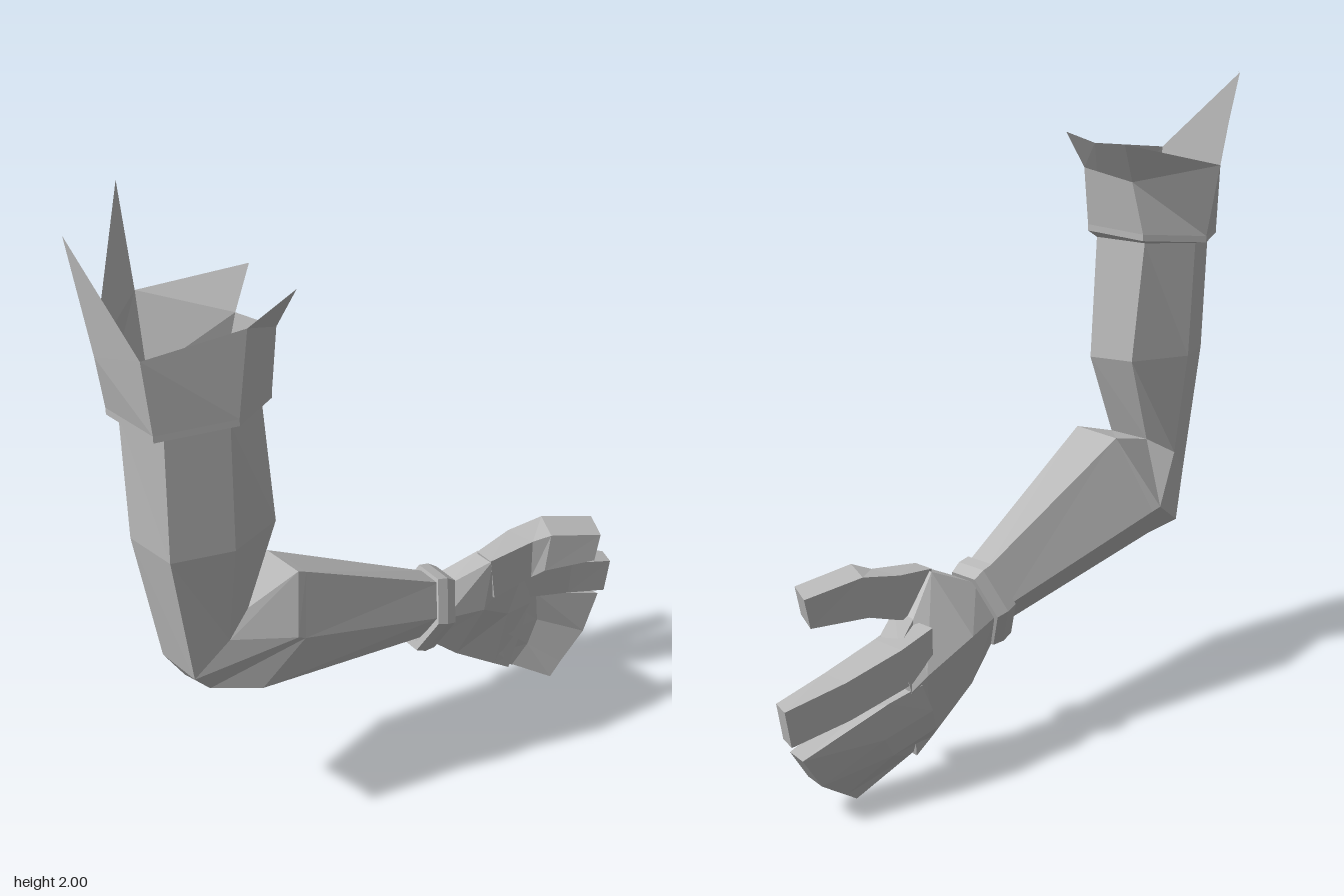
import * as THREE from 'three';

const grey = new THREE.MeshStandardMaterial({ color: 0xb8b8b8, flatShading: true, side: THREE.DoubleSide });
grey.name = 'plain grey';

function meshFromTriangles(name, triangles) {
  const geometry = new THREE.BufferGeometry();
  geometry.setAttribute('position', new THREE.Float32BufferAttribute(triangles.flat(2), 3));
  geometry.computeVertexNormals();
  const mesh = new THREE.Mesh(geometry, grey);
  mesh.name = name;
  return mesh;
}

// Skins a list of equal-sized rings with flat facets, with optional end caps
function loft(name, rings, capStart = false, capEnd = false) {
  const tris = [];
  const n = rings[0].length;
  const centre = (ring) => [0, 1, 2].map((k) => ring.reduce((s, p) => s + p[k], 0) / n);
  for (let j = 0; j < n; j++) {
    const k = (j + 1) % n;
    for (let i = 0; i < rings.length - 1; i++) {
      const a = rings[i], b = rings[i + 1];
      tris.push([a[j], b[j], b[k]], [a[j], b[k], a[k]]);
    }
    const first = rings[0], last = rings[rings.length - 1];
    if (capStart) tris.push([centre(first), first[j], first[k]]);
    if (capEnd) tris.push([centre(last), last[k], last[j]]);
  }
  return meshFromTriangles(name, tris);
}

// Four-sided finger section: x range and y range at the lower and upper z
const fingerRing = (x0, x1, y0, y1, zLow, zHigh, skew = 0) => [
  [x0, y0, zLow], [x1, y0, zLow + skew], [x1, y1, zHigh + skew], [x0, y1, zHigh],
];

export function createModel() {
  const group = new THREE.Group();
  group.name = 'bentArm';

  // Upper arm, elbow and forearm: six-sided rings from shoulder to wrist
  const shoulder = [[-.03, 1.46, .84], [.18, 1.48, .82], [.225, 1.48, .65], [.15, 1.47, .51], [-.04, 1.47, .52], [-.11, 1.46, .68]];
  const biceps = [[-.01, 1.09, .845], [.165, 1.09, .82], [.21, 1.09, .645], [.14, 1.09, .475], [-.03, 1.1, .48], [-.1, 1.1, .67]];
  const elbow = [[0, .68, .78], [.155, .68, .765], [.16, .77, .65], [.13, .83, .57], [-.02, .83, .57], [-.07, .78, .65]];
  const elbowTip = [[-.05, .54, .69], [.12, .6, .7], [.2, .72, .45], [.12, .88, .395], [-.04, .87, .4], [-.15, .65, .49]];
  const forearm = [[-.05, .525, .55], [.16, .56, .55], [.19, .7, .42], [.115, .865, .365], [-.04, .855, .37], [-.145, .64, .46]];
  const wrist = [[-.03, .39, -.08], [.05, .41, -.09], [.09, .49, -.13], [.04, .58, -.17], [-.04, .58, -.17], [-.09, .47, -.13]];
  group.add(loft('upperArm', [shoulder, biceps, elbow]));
  group.add(loft('forearm', [elbow, elbowTip, forearm, wrist], false, true));

  // Wrist band: tilted hexagonal collar
  const bandRing = (t, s) => [[-.05, -.125], [.05, -.125], [.11, 0], [.05, .125], [-.05, .125], [-.11, 0]].map(([x, u]) => [
    x * s - .005, .48 + u * s * .95 - t * .025, -.12 - u * s * .32 - t * .07,
  ]);
  group.add(loft('wristBand', [bandRing(0, .8), bandRing(0, 1), bandRing(.5, 1.03), bandRing(1, .95), bandRing(1, .7)]));

  // Torn cuff: flared wall with a folded lower rim
  const rim = [[-.04, 1.465, .87], [.2, 1.485, .86], [.255, 1.49, .64], [.17, 1.49, .49], [-.05, 1.48, .5], [-.145, 1.465, .69]];
  const rimTop = rim.map(([x, y, z]) => [x, y + .02, z]);
  const edge = [[-.015, 1.65, .9], [.2, 1.72, .88], [.245, 1.75, .6], [.17, 1.69, .47], [-.02, 1.66, .48], [-.2, 1.71, .68]];
  group.add(loft('cuff', [edge, rimTop, rim, shoulder]));

  // Pointed rags rising from the cuff edge
  const [A, B, C, D, E, F] = edge;
  group.add(meshFromTriangles('cuffPoints', [
    [F, A, [-.26, 2, .68]],
    [A, B, [-.07, 1.97, .93]],
    [C, D, [.21, 1.8, .43]],
    [E, F, [-.04, 1.78, .42]],
  ]));

  // Palm
  group.add(loft('palm', [
    [[-.04, .34, -.15], [.03, .36, -.15], [.06, .45, -.18], [.03, .55, -.21], [-.04, .55, -.21], [-.09, .45, -.18]],
    [[-.06, .25, -.25], [.03, .27, -.25], [.08, .44, -.32], [.08, .615, -.35], [0, .61, -.35], [-.12, .43, -.3]],
    [[-.07, .14, -.42], [.02, .15, -.42], [.03, .34, -.46], [.05, .51, -.45], [-.03, .5, -.45], [-.12, .36, -.48]],
    [[-.07, .1, -.48], [.02, .11, -.48], [0, .32, -.58], [0, .47, -.55], [-.09, .46, -.56], [-.12, .33, -.54]],
  ], true, true));

  // Thumb
  group.add(loft('thumb', [
    fingerRing(.01, .08, .47, .615, -.36, -.34),
    fingerRing(-.01, .09, .5, .635, -.48, -.48, -.02),
    fingerRing(.01, .12, .53, .655, -.58, -.6, .05),
    fingerRing(.06, .165, .53, .62, -.75, -.77, .05),
  ], true, true));

  // Pointing finger
  group.add(loft('indexFinger', [
    fingerRing(-.1, .02, .36, .49, -.44, -.44),
    fingerRing(-.115, 0, .345, .465, -.57, -.57),
    fingerRing(-.09, .005, .3, .415, -.74, -.75),
    fingerRing(-.045, .018, .26, .37, -.91, -.93, .02),
  ], true, true));

  // Remaining fingers, joined as one fan; each row gives base, knuckle, tip as [x0, x1, y, z]
  const fan = [
    [[-.12, 0, .34, -.5], [-.115, -.02, .32, -.62], [-.065, -.01, .22, -.89]],
    [[-.12, .02, .25, -.46], [-.105, -.02, .21, -.63], [-.045, .015, .11, -.81]],
    [[-.1, .02, .18, -.43], [-.085, -.005, .14, -.58], [-.015, .03, .035, -.7]],
    [[-.07, .02, .14, -.42], [-.055, .015, .1, -.5], [0, .04, 0, -.65]],
  ].map((row) => [
    ...row.map(([, x1, y, z]) => [x1, y + .01, z]),
    ...row.map(([x0, , y, z]) => [x0, y, z]).reverse(),
  ]);
  group.add(loft('fingerFan', fan, true, true));

  return group;
}
